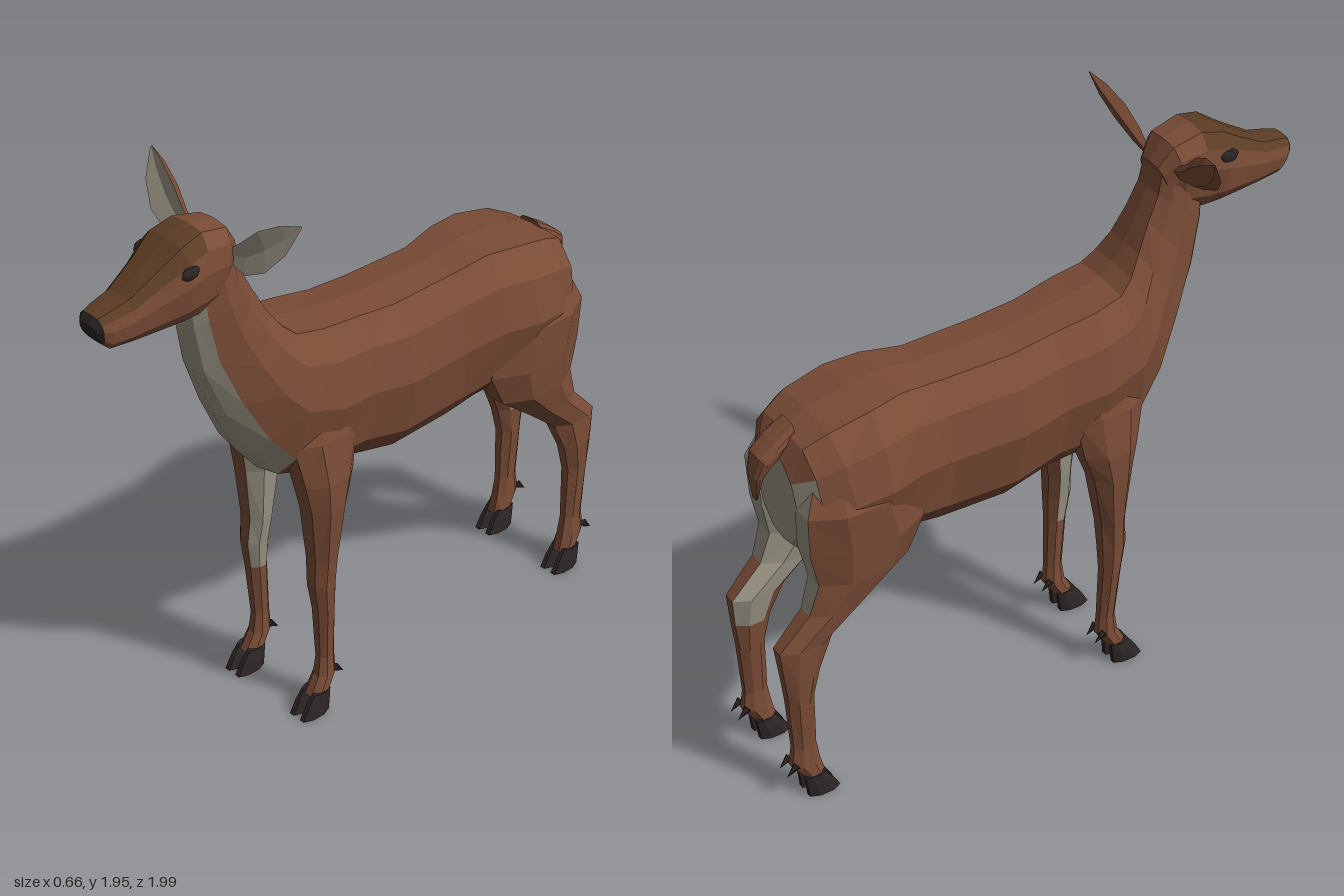
import * as THREE from 'three';

const material = (color) => new THREE.MeshStandardMaterial({ color, flatShading: true });
const MATS = {
  coat: material(0x7a4c36),
  crown: material(0x5c3c24),
  pale: material(0x9a9484),
  dark: material(0x2c2526),
};

// Skin a list of rings, close both ends, and split the faces by colour.
// paint(i, j) names the colour of face j in band i; i = -1 and i = rings.length - 1 are the caps.
function loft(name, rings, paint) {
  const tris = {};
  let volume = 0;
  const add = (key, a, b, c) => {
    (tris[key] ??= []).push([a, b, c]);
    volume += a.dot(b.clone().cross(c));
  };
  const n = rings[0].length;
  const last = rings.length - 1;
  for (let i = 0; i < last; i++) {
    for (let j = 0; j < n; j++) {
      const k = (j + 1) % n;
      const [a, b, c, d] = [rings[i][j], rings[i][k], rings[i + 1][k], rings[i + 1][j]];
      add(paint(i, j), a, b, c);
      add(paint(i, j), a, c, d);
    }
  }
  for (const [ring, i] of [[rings[0], -1], [rings[last], last]]) {
    const mid = ring.reduce((s, p) => s.add(p), new THREE.Vector3()).divideScalar(n);
    for (let j = 0; j < n; j++) {
      const [a, b] = [ring[j], ring[(j + 1) % n]];
      if (i < 0) add(paint(i, j), mid, b, a);
      else add(paint(i, j), mid, a, b);
    }
  }
  // Turn every face outward
  const group = new THREE.Group();
  group.name = name;
  for (const [key, list] of Object.entries(tris)) {
    const points = list.flatMap(([a, b, c]) => (volume > 0 ? [a, b, c] : [a, c, b]));
    const geometry = new THREE.BufferGeometry().setFromPoints(points);
    geometry.computeVertexNormals();
    const mesh = new THREE.Mesh(geometry, MATS[key]);
    mesh.name = `${name}_${key}`;
    group.add(mesh);
  }
  return group;
}

// Symmetric ring from a top point, a bottom point and a half width.
// Each profile entry is [share of width, share of the way down].
function spineRings(profile, sections) {
  const mirrored = profile.slice(1, -1).reverse().map(([w, t]) => [-w, t]);
  return sections.map(([zt, yt, zb, yb, hw]) => [...profile, ...mirrored].map(([w, t]) =>
    new THREE.Vector3(w * hw, yt + (yb - yt) * t, zt + (zb - zt) * t)));
}
const half = (j) => (j < 6 ? j : 11 - j);

// Horizontal eight-sided rings from [y, zFront, zBack, xInner, xOuter]
function legRings(side, rows) {
  return rows.map(([y, zf, zb, xi, xo]) => Array.from({ length: 8 }, (_, j) => {
    const a = ((j + 0.5) / 8) * Math.PI * 2;
    const r = 0.5 / Math.cos(Math.PI / 8);
    return new THREE.Vector3(
      side * ((xi + xo) / 2 + (xo - xi) * r * Math.cos(a)), y,
      (zf + zb) / 2 + (zf - zb) * r * Math.sin(a));
  }));
}

const BODY_PROFILE = [[0, 0], [0.55, 0.02], [0.86, 0.18], [1, 0.45], [0.8, 0.8], [0.45, 0.96], [0, 1]];
const HEAD_PROFILE = [[0, 0], [0.6, 0.03], [0.9, 0.2], [1, 0.45], [0.88, 0.8], [0.6, 0.98], [0, 1]];

// Rump to top of neck
const BODY = [
  [-0.885, 1.25, -0.86, 0.9, 0.13], [-0.84, 1.31, -0.8, 0.84, 0.21],
  [-0.76, 1.35, -0.7, 0.84, 0.245], [-0.62, 1.38, -0.6, 0.84, 0.26],
  [-0.5, 1.39, -0.48, 0.83, 0.23], [-0.36, 1.37, -0.36, 0.8, 0.2],
  [-0.1, 1.37, -0.12, 0.795, 0.21], [0.05, 1.385, 0.05, 0.835, 0.2],
  [0.2, 1.41, 0.2, 0.85, 0.22], [0.3, 1.43, 0.37, 0.91, 0.205],
  [0.345, 1.47, 0.46, 1.02, 0.18], [0.385, 1.53, 0.55, 1.2, 0.14],
  [0.43, 1.62, 0.62, 1.38, 0.11], [0.47, 1.7, 0.65, 1.55, 0.1],
  [0.49, 1.8, 0.655, 1.66, 0.09],
];
// Back of skull to nose
const HEAD = [
  [0.475, 1.79, 0.53, 1.64, 0.07], [0.52, 1.86, 0.57, 1.62, 0.1],
  [0.62, 1.885, 0.64, 1.605, 0.11], [0.7, 1.865, 0.7, 1.61, 0.12],
  [0.78, 1.81, 0.78, 1.605, 0.095], [0.88, 1.75, 0.88, 1.605, 0.074],
  [0.95, 1.735, 0.95, 1.61, 0.064], [0.985, 1.725, 0.97, 1.63, 0.055],
  [1.0, 1.7, 0.99, 1.655, 0.036],
];
const TAIL = [
  [-0.82, 1.335, -0.84, 1.26, 0.05], [-0.89, 1.29, -0.875, 1.235, 0.055],
  [-0.94, 1.25, -0.9, 1.21, 0.05], [-0.957, 1.18, -0.925, 1.17, 0.035],
  [-0.95, 1.09, -0.94, 1.09, 0.012],
];
const FRONT_LEG = [
  [1.25, 0.3, 0.12, 0.06, 0.15], [1.05, 0.36, 0.1, 0.06, 0.205],
  [0.9, 0.33, 0.13, 0.07, 0.225], [0.8, 0.31, 0.165, 0.085, 0.225],
  [0.6, 0.29, 0.2, 0.1, 0.21], [0.5, 0.295, 0.205, 0.115, 0.205],
  [0.4, 0.28, 0.21, 0.125, 0.2], [0.2, 0.265, 0.205, 0.13, 0.185],
  [0.13, 0.275, 0.2, 0.125, 0.19], [0.065, 0.31, 0.24, 0.122, 0.195],
];
const HIND_LEG = [
  [1.28, -0.6, -0.8, 0.08, 0.17], [1.1, -0.52, -0.875, 0.06, 0.25],
  [0.95, -0.47, -0.87, 0.05, 0.245], [0.83, -0.53, -0.845, 0.07, 0.235],
  [0.72, -0.67, -0.88, 0.09, 0.215], [0.61, -0.8, -0.985, 0.1, 0.2],
  [0.5, -0.85, -0.975, 0.115, 0.2], [0.4, -0.875, -0.965, 0.12, 0.195],
  [0.2, -0.875, -0.955, 0.13, 0.185], [0.13, -0.865, -0.965, 0.125, 0.19],
  [0.065, -0.85, -0.92, 0.122, 0.195],
];
// Ear path with half width: [x, y, z, width]
const EAR = [
  [0.09, 1.77, 0.53, 0.025], [0.15, 1.79, 0.54, 0.046], [0.22, 1.84, 0.53, 0.058],
  [0.285, 1.895, 0.505, 0.042], [0.33, 1.945, 0.475, 0.004],
];

// Two-toed hoof and the pair of dewclaws above it; toe is the z of the hoof's front tip
function foot(name, side, toe) {
  const group = new THREE.Group();
  group.name = name;
  for (const [xi, xo] of [[0.112, 0.157], [0.161, 0.206]]) {
    group.add(loft('hoofToe', legRings(side, [
      [0.08, toe - 0.05, toe - 0.12, xi + 0.008, xo - 0.008],
      [0.045, toe - 0.025, toe - 0.115, xi + 0.002, xo - 0.002],
      [0, toe, toe - 0.11, xi, xo],
    ]), () => 'dark'));
    const claw = new THREE.Mesh(new THREE.ConeGeometry(0.014, 0.05, 5), MATS.dark);
    claw.name = 'dewclaw';
    claw.position.set(side * (xi + xo) / 2, 0.13, toe - 0.165);
    claw.rotation.x = -2.3;
    group.add(claw);
  }
  return group;
}

function ear(side) {
  const rings = EAR.map(([x, y, z, w]) => [
    [1, -0.3, 0], [0, 0, -0.015], [-1, 0.3, 0], [-0.6, 0.2, -0.03], [0.6, -0.2, -0.035],
  ].map(([u, lean, depth]) => new THREE.Vector3(
    side * (x - 0.57 * u * w), y + 0.82 * u * w, z + lean * w + depth * w / 0.058)));
  return loft(side > 0 ? 'leftEar' : 'rightEar', rings, (i, j) => (j < 2 ? 'pale' : 'coat'));
}

export function createModel() {
  const model = new THREE.Group();
  model.name = 'deer';

  // Torso and neck with pale rump, belly and throat
  model.add(loft('body', spineRings(BODY_PROFILE, BODY), (i, j) => {
    const h = half(j);
    if (i < 0) return 'pale';
    if (i === 0) return h >= 2 ? 'pale' : 'coat';
    return h >= (i >= 9 ? 4 : 5) ? 'pale' : 'coat';
  }));

  // Head with dark crown, pale jaw and dark nose
  model.add(loft('head', spineRings(HEAD_PROFILE, HEAD), (i, j) => {
    const h = half(j);
    if (i >= 7) return 'dark';
    if (h >= 5) return 'pale';
    return i >= 2 && h < 2 ? 'crown' : 'coat';
  }));

  model.add(loft('tail', spineRings(HEAD_PROFILE, TAIL), () => 'coat'));

  for (const side of [1, -1]) {
    const label = side > 0 ? 'left' : 'right';
    model.add(ear(side));

    const eye = new THREE.Mesh(new THREE.SphereGeometry(1, 8, 6), MATS.dark);
    eye.name = `${label}Eye`;
    eye.scale.set(0.013, 0.022, 0.034);
    eye.position.set(side * 0.108, 1.79, 0.7);
    model.add(eye);

    // Legs, pale on the inside of the upper part
    model.add(loft(`${label}FrontLeg`, legRings(side, FRONT_LEG),
      (i, j) => (i >= 2 && i < 6 && (j === 3 || j === 2) ? 'pale' : 'coat')));
    model.add(loft(`${label}HindLeg`, legRings(side, HIND_LEG),
      (i, j) => (i < 6 && (j === 3 || j === 4 || (j === 5 && i < 4)) ? 'pale' : 'coat')));
    model.add(foot(`${label}FrontFoot`, side, 0.36));
    model.add(foot(`${label}HindFoot`, side, -0.81));
  }
  return model;
}
